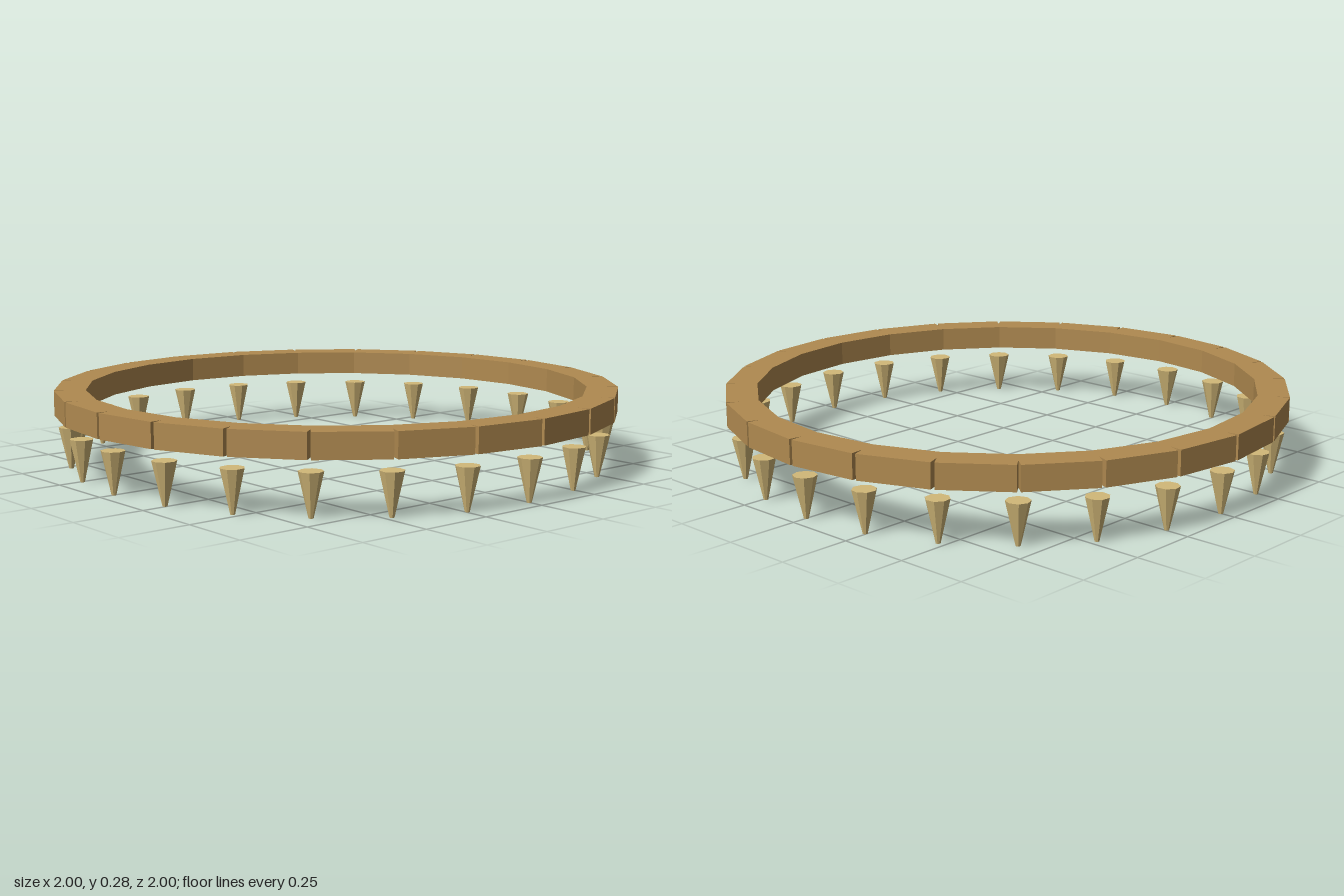
import * as THREE from 'three';

const COUNT = 24;
const STEP = (Math.PI * 2) / COUNT;

export function createModel() {
  const model = new THREE.Group();
  const bronze = new THREE.MeshStandardMaterial({ color: 0xb08a50, flatShading: true });
  bronze.name = 'bronze';
  const paleGold = new THREE.MeshStandardMaterial({ color: 0xd2b878, flatShading: true });
  paleGold.name = 'pale gold';

  // Straight blocks overlap on the inside and leave V notches on the outside
  const blockGeometry = new THREE.BoxGeometry(0.249, 0.086, 0.11);
  // Blunt faceted spike, pointing down
  const spikeGeometry = new THREE.CylinderGeometry(0.041, 0.008, 0.147, 8);

  const ring = new THREE.Group();
  ring.name = 'ring';
  const spikes = new THREE.Group();
  spikes.name = 'spikes';
  model.add(ring, spikes);

  // Place a part on a circle, turned to face outward
  function place(parent, name, geometry, material, angle, radius, y) {
    const mesh = new THREE.Mesh(geometry, material);
    mesh.name = name;
    mesh.position.set(Math.sin(angle) * radius, y, Math.cos(angle) * radius);
    mesh.rotation.y = angle;
    parent.add(mesh);
  }

  for (let i = 0; i < COUNT; i++) {
    place(ring, 'ringBlock', blockGeometry, bronze, (i + 0.5) * STEP, 0.937, 0.233);
    // Each spike hangs beneath a joint
    place(spikes, 'spike', spikeGeometry, paleGold, i * STEP, 0.946, 0.0735);
  }
  return model;
}
